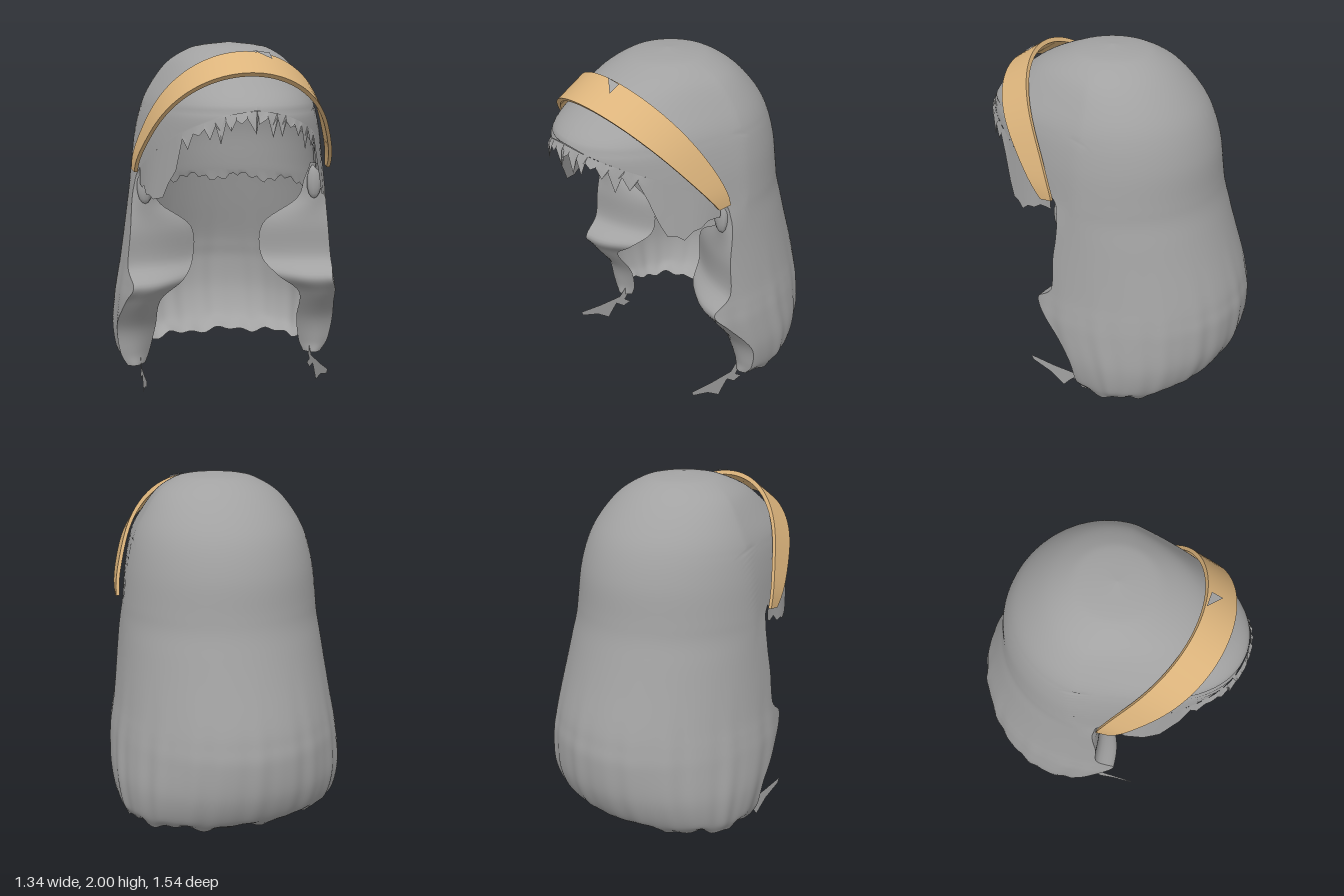
import * as THREE from 'three';
import { toCreasedNormals } from 'three/addons/utils/BufferGeometryUtils.js';

const { smoothstep, clamp } = THREE.MathUtils;

// Grid surface: fn(v, u, row, column) returns a point, rows run down and columns run across
function loft(rows, cols, fn) {
  const pos = [], idx = [];
  for (let i = 0; i <= rows; i++)
    for (let j = 0; j <= cols; j++) pos.push(...fn(i / rows, j / cols, i, j).toArray());
  for (let i = 0; i < rows; i++)
    for (let j = 0; j < cols; j++) {
      const a = i * (cols + 1) + j, b = a + cols + 1;
      idx.push(a, b, a + 1, a + 1, b, b + 1);
    }
  const g = new THREE.BufferGeometry();
  g.setAttribute('position', new THREE.Float32BufferAttribute(pos, 3));
  g.setIndex(idx);
  g.computeVertexNormals();
  return g;
}

// Horizontal sections: height, half width, back z, front z, centre z, front edge z
const SECTIONS = [
  [2.0, 0.001, 0.049, 0.051, 0.05, 0.2],
  [1.985, 0.15, -0.11, 0.2, 0.045, 0.35],
  [1.96, 0.235, -0.2, 0.3, 0.04, 0.45],
  [1.89, 0.345, -0.31, 0.46, 0.02, 0.58],
  [1.78, 0.43, -0.42, 0.61, 0, 0.7],
  [1.66, 0.49, -0.5, 0.745, 0, 0.75],
  [1.5, 0.53, -0.555, 0.75, 0, 0.47],
  [1.32, 0.553, -0.58, 0.74, 0, 0.16],
  [1.22, 0.563, -0.597, 0.72, 0, 0.11],
  [1.1, 0.576, -0.63, 0.7, -0.03, 0.11],
  [0.95, 0.595, -0.675, 0.68, -0.05, 0.13],
  [0.76, 0.622, -0.735, 0.65, -0.07, 0.14],
  [0.66, 0.64, -0.758, 0.65, -0.08, 0.24],
  [0.55, 0.657, -0.773, 0.65, -0.09, 0.16],
  [0.36, 0.67, -0.755, 0.6, -0.14, 0.01],
  [0.2, 0.65, -0.68, 0.55, -0.17, -0.02],
  [0.12, 0.61, -0.57, 0.5, -0.18, -0.02],
];
const LAST = SECTIONS.length - 1;
const spline = (pts) => new THREE.CatmullRomCurve3(pts.map((p) => new THREE.Vector3(...p)), false, 'catmullrom', 0.5);
const sizeCurve = spline(SECTIONS.map((s) => s.slice(0, 3)));
const frontCurve = spline(SECTIONS.map((s) => s.slice(3)));

// Point on the hair shell: k is the section number, q goes from one front edge round the back to the other
function shellPoint(k, q) {
  const { x: y, y: w, z: back } = sizeCurve.getPoint(k / LAST);
  const { x: front, y: mid, z: edge } = frontCurve.getPoint(k / LAST);
  const start = k <= 5 ? 0 : Math.acos(clamp((edge - mid) / (front - mid), -1, 1));
  const phi = start + q * (2 * Math.PI - 2 * start);
  const c = Math.cos(phi), low = smoothstep(k, 9, 15);
  const ripple = 1 + low * (0.006 * Math.sin(phi * 23) + 0.003 * Math.sin(phi * 37 + 1));
  const hem = Math.max(0, k - 15) * (0.01 * Math.sin(phi * 23) + 0.012 * Math.sin(phi * 11));
  // the hair is pressed in where the band crosses it
  const press = c > 0 ? 1 - 0.22 * c * (1 - c) * smoothstep(k, 1.5, 3.5) * (1 - smoothstep(k, 7, 9)) : 1;
  return new THREE.Vector3(w * Math.sin(phi) * ripple * press, y + hem,
    mid + (c > 0 ? front - mid : mid - back) * c * ripple);
}

// Inner edge of the locks beside the face, from section 7 down
const lockCurve = spline([
  [0.47, 0, 0.1], [0.44, 0, 0.08], [0.4, 0, 0.06], [0.215, 0, 0], [0.205, 0, 0],
  [0.28, 0, 0.12], [0.41, 0, 0.12], [0.43, 0, 0], [0.46, 0, -0.05], [0.49, 0, -0.05],
]);

export function createModel() {
  const hair = new THREE.MeshStandardMaterial({ color: 0xa2a2a2, side: THREE.DoubleSide });
  const tan = new THREE.MeshStandardMaterial({ color: 0xdcb47c, side: THREE.DoubleSide });
  const model = new THREE.Group();
  const add = (name, geometry, material) => {
    const mesh = new THREE.Mesh(geometry, material);
    mesh.name = name;
    model.add(mesh);
  };

  // Main hair, from crown to hem
  add('hairShell', loft(96, 144, (v, q) => shellPoint(v * LAST, q)), hair);

  // Inner cap with an uneven lower edge
  add('innerCap', loft(36, 72, (v, q, i, j) => {
    const p = shellPoint(v * 8.3, q);
    const ragged = v === 1 ? 0.015 * Math.sin(j * 1.9) + 0.02 * Math.sin(j * 0.5) : 0;
    return p.set(p.x * 0.94, p.y - 0.03 + ragged, p.z * 0.94);
  }), hair);

  // Jagged fringe hanging from the hairline, longest beside the temples
  add('fringe', toCreasedNormals(loft(2, 52, (v, q, i, j) => {
    const u = q * 2 - 1, side = Math.abs(u);
    const p = shellPoint(5 + 2 * side * side, u < 0 ? 1 : 0);
    const temple = smoothstep(side, 0.62, 0.72);
    const spike = j % 2 ? (0.06 + 0.04 * Math.sin(j * 2.3)) * (1 - 0.7 * temple) : 0;
    const drop = 0.03 + 0.25 * temple - 0.19 * smoothstep(side, 0.76, 1) + spike;
    return p.set(p.x * (1 + 0.07 * v * temple * (1 - smoothstep(side, 0.8, 1))), p.y - v * drop,
      p.z + v * 0.02 * (1 - temple));
  }), 0.6), hair);

  for (const s of [1, -1]) {
    const sideName = s > 0 ? 'left' : 'right';
    // Lock turned in beside the face, flaring forward at its lower end
    add(sideName + 'FrontLock', loft(54, 10, (v, t) => {
      const k = 7 + v * 9;
      const p = shellPoint(k, s > 0 ? 0 : 1);
      const inner = lockCurve.getPoint(v);
      inner.set(inner.x * s, p.y, inner.z);
      p.lerp(inner, t);
      p.z += 0.03 * Math.sin(Math.PI * t);
      return p;
    }), hair);

    // Loose wisp at the lower front corner
    const outline = [[-0.05, 0.2], [0.03, 0.12], [0.2, 0.13], [0.35, 0.15], [0.34, 0.12], [0.22, 0.07],
      [0.13, 0.0], [0.09, 0.05], [0.06, 0.08], [0.0, 0.03], [-0.06, 0.04], [-0.01, 0.08], [-0.06, 0.13]];
    const wisp = new THREE.ShapeGeometry(new THREE.Shape(outline.map((p) => new THREE.Vector2(...p))));
    wisp.rotateY(-Math.PI / 2);
    wisp.translate(s * 0.52, 0, 0);
    add(sideName + 'Wisp', wisp, hair);

    // Small curled tuft below the end of the band
    const tuft = new THREE.SphereGeometry(0.05, 10, 8);
    tuft.scale(0.9, 2, 0.6);
    tuft.translate(s * 0.49, 1.21, 0.12);
    add(sideName + 'Tuft', tuft, hair);
  }

  // Headband: a tilted arch with a flat four-cornered section, its ends narrowing and kicking out
  const hub = new THREE.Vector3(0, 1.3, 0.15);
  const band = loft(56, 4, (v, t, i, j) => {
    const a = (v * 2 - 1) * 1.57, c = Math.max(0, Math.cos(a)), sn = Math.sin(a);
    const kick = 0.03 * Math.pow(Math.abs(sn), 30) * Math.sign(sn);
    const corner = j % 4;
    const p = corner === 0 || corner === 3
      ? new THREE.Vector3(0.535 * sn + kick, 1.31 + 0.635 * Math.pow(c, 0.9), 0.13 + 0.35 * Math.pow(c, 1.2))
      : new THREE.Vector3(0.525 * sn + kick, 1.3 + 0.54 * Math.pow(c, 0.9), 0.2 + 0.44 * Math.pow(c, 0.9));
    return corner >= 2 ? p.sub(hub).multiplyScalar(0.965).add(hub) : p;
  });
  add('headband', toCreasedNormals(band, 0.7), tan);

  // Strand of hair showing through the band
  const strand = new THREE.BufferGeometry().setFromPoints([
    new THREE.Vector3(0.04, 1.95, 0.487), new THREE.Vector3(0.125, 1.906, 0.548), new THREE.Vector3(0.125, 1.938, 0.487),
  ]);
  strand.computeVertexNormals();
  add('strandOverBand', strand, hair);

  return model;
}
